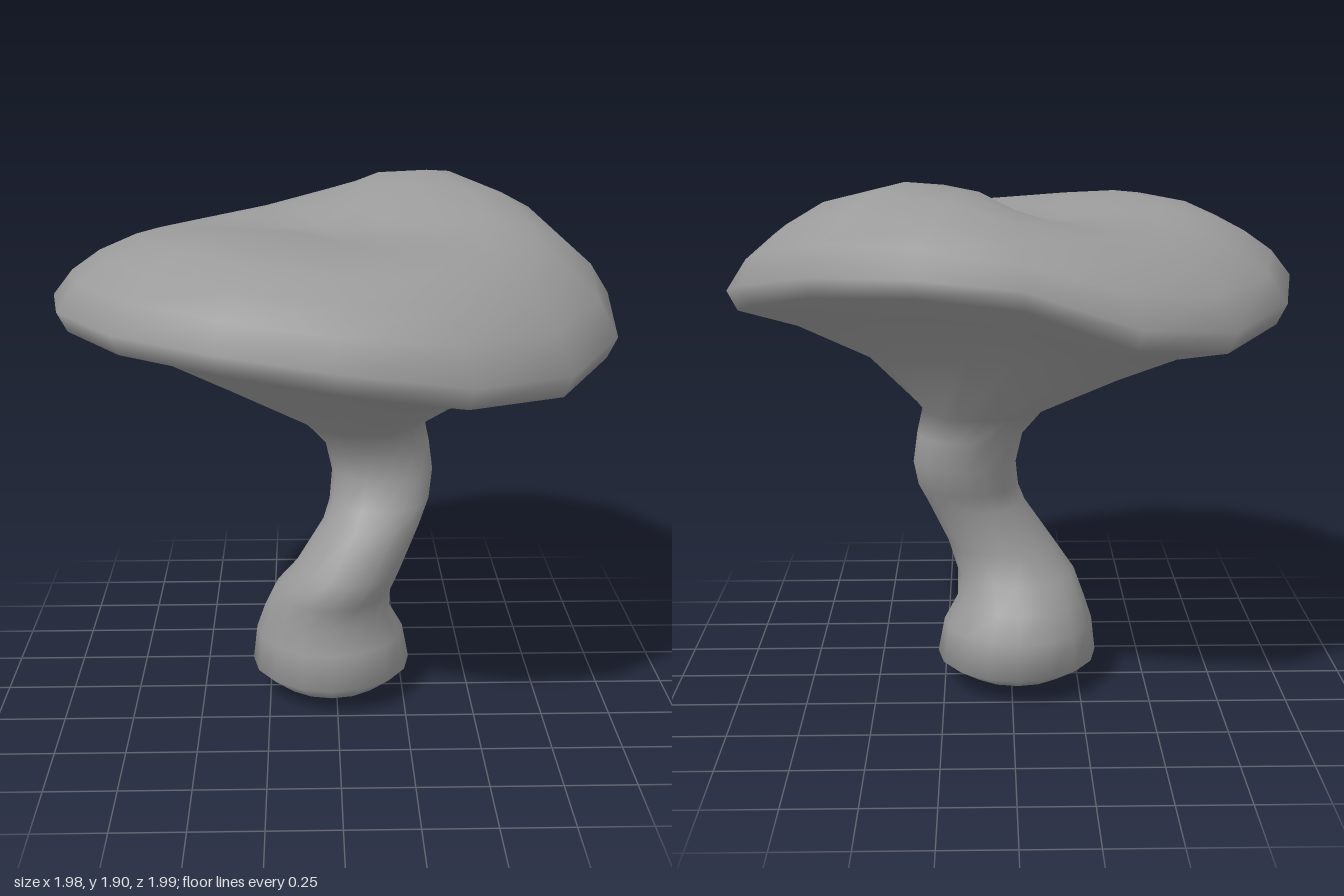
import * as THREE from 'three';
import { mergeVertices } from 'three/addons/utils/BufferGeometryUtils.js';

const SIDES = 16;

// Cap outline, clockwise from the back: x, z, height of the wavy rim,
// height of the crown above it
const RIM = [
  [-0.02, -1, 1.64, 1.81], [0.31, -0.97, 1.67, 1.88], [0.63, -0.81, 1.65, 1.9],
  [0.88, -0.52, 1.58, 1.85], [0.985, -0.13, 1.5, 1.78], [0.945, 0.27, 1.43, 1.75],
  [0.73, 0.65, 1.4, 1.74], [0.39, 0.9, 1.43, 1.74], [-0.01, 0.99, 1.5, 1.75],
  [-0.39, 0.91, 1.54, 1.77], [-0.71, 0.7, 1.55, 1.79], [-0.92, 0.38, 1.55, 1.78],
  [-0.99, 0, 1.53, 1.76], [-0.91, -0.37, 1.49, 1.74], [-0.69, -0.7, 1.46, 1.74],
  [-0.37, -0.92, 1.51, 1.76],
];
const CENTRE_Y = 1.74;

// Stem cross-sections: y, x min, x max, z min, z max
const STEM = [
  [0, 0, 0, 0, 0],
  [0.04, -0.22, 0.18, -0.2, 0.19],
  [0.11, -0.315, 0.275, -0.315, 0.275],
  [0.24, -0.3, 0.25, -0.3, 0.255],
  [0.33, -0.27, 0.2, -0.25, 0.23],
  [0.42, -0.235, 0.2, -0.19, 0.25],
  [0.52, -0.16, 0.235, -0.13, 0.265],
  [0.69, -0.05, 0.31, -0.14, 0.2],
  [0.76, -0.025, 0.34, -0.17, 0.16],
  [0.86, -0.015, 0.355, -0.205, 0.11],
  [0.97, -0.04, 0.34, -0.225, 0.13],
  [1.06, -0.12, 0.32, -0.255, 0.19],
];

// Smooth skin over equal-sized rings of points
function loft(rings) {
  const index = [];
  for (let i = 0; i < rings.length - 1; i++) {
    for (let k = 0; k < SIDES; k++) {
      const a = i * SIDES + k, b = i * SIDES + (k + 1) % SIDES;
      index.push(a, a + SIDES, b, b, a + SIDES, b + SIDES);
    }
  }
  let geometry = new THREE.BufferGeometry();
  geometry.setAttribute('position', new THREE.Float32BufferAttribute(rings.flat(2), 3));
  geometry.setIndex(index);
  geometry = mergeVertices(geometry, 1e-4); // joins the points at a pole
  geometry.computeVertexNormals();
  return geometry;
}

function stemRing([y, x0, x1, z0, z1]) {
  return RIM.map((_, k) => {
    const t = (k / SIDES) * Math.PI * 2;
    return [
      (x0 + x1) / 2 + Math.sin(t) * (x1 - x0) / 2,
      y,
      (z0 + z1) / 2 - Math.cos(t) * (z1 - z0) / 2,
    ];
  });
}

// Underside: wave sets how much of the rim's rise and fall is kept
const gillRing = ([scale, y, wave]) =>
  RIM.map(([x, z, rim]) => [x * scale, y + (rim - 1.5) * wave, z * scale]);

// Outer cap: blends from the rim height up to the crown height
const shoulderRing = ([scale, t]) =>
  RIM.map(([x, z, rim, crown]) => [x * scale, THREE.MathUtils.lerp(rim, crown, t), z * scale]);

// Inner cap: blends from the crown height down to the centre
const crownRing = ([scale, t]) =>
  RIM.map(([x, z, , crown]) => [x * scale, THREE.MathUtils.lerp(crown, CENTRE_Y, t), z * scale]);

export function createModel() {
  const group = new THREE.Group();

  // One continuous skin from the foot to the dimple in the cap
  const mushroom = new THREE.Mesh(
    loft([
      // Bent stem with a bulbous foot
      ...STEM.map(stemRing),
      // Funnel-shaped underside
      ...[[0.51, 1.25, 0.5], [0.76, 1.37, 0.8], [0.965, 1.43, 1.05]].map(gillRing),
      // Rolled rim and rounded shoulder
      ...[[1, 0], [0.93, 0.38], [0.83, 0.68], [0.7, 0.92]].map(shoulderRing),
      // Wavy crown sinking to the centre
      ...[[0.55, 0], [0.36, 0.15], [0.17, 0.6], [0, 1]].map(crownRing),
    ]),
    new THREE.MeshStandardMaterial({ color: 0x9b9b9b }),
  );
  mushroom.name = 'mushroom';
  group.add(mushroom);

  return group;
}
